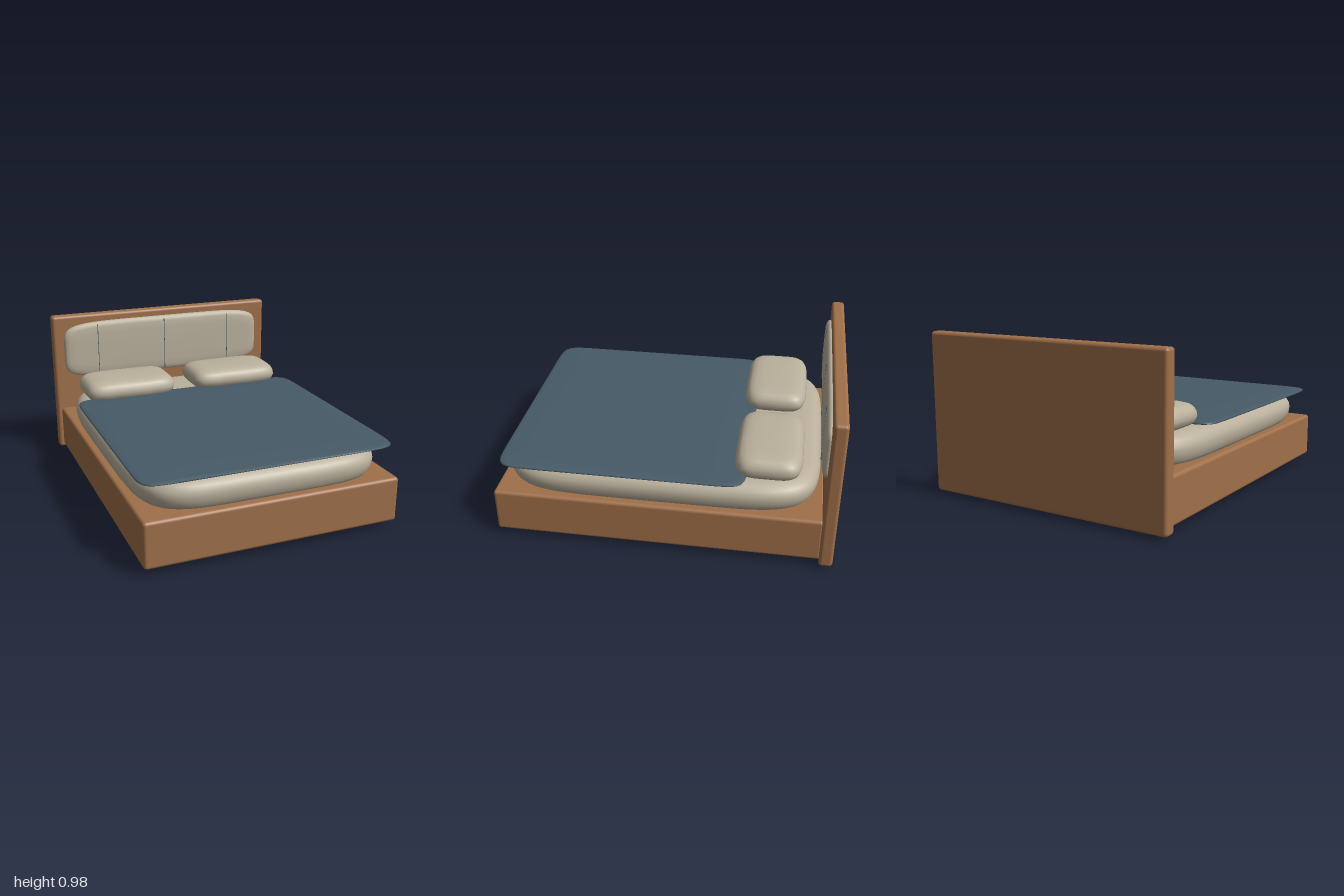
import * as THREE from 'three';
import { RoundedBoxGeometry } from 'three/addons/geometries/RoundedBoxGeometry.js';

const wood = new THREE.MeshStandardMaterial({ color: 0xa0704a });
wood.name = 'warm wood';
const linen = new THREE.MeshStandardMaterial({ color: 0xbab09c });
linen.name = 'linen';
const slate = new THREE.MeshStandardMaterial({ color: 0x465a66 });
slate.name = 'slate blue';

// Padded form: superellipse rings stacked along y; profile rows are [inset, y].
function paddedGeometry(halfX, halfZ, power, profile, sides = 96) {
  const pos = [], index = [];
  const bend = (v) => Math.sign(v) * Math.abs(v) ** (2 / power);
  for (const [inset, y] of profile) {
    for (let j = 0; j < sides; j++) {
      const t = (j / sides) * Math.PI * 2;
      pos.push((halfX - inset) * bend(Math.cos(t)), y, (halfZ - inset) * bend(Math.sin(t)));
    }
  }
  const last = profile.length - 1;
  const bottom = pos.length / 3, top = bottom + 1;
  pos.push(0, profile[0][1], 0, 0, profile[last][1], 0);
  for (let j = 0; j < sides; j++) {
    const k = (j + 1) % sides;
    for (let i = 0; i < last; i++) {
      const a = i * sides + j, b = i * sides + k;
      index.push(a, a + sides, b + sides, a, b + sides, b);
    }
    index.push(bottom, j, k, top, last * sides + k, last * sides + j);
  }
  const g = new THREE.BufferGeometry();
  g.setAttribute('position', new THREE.Float32BufferAttribute(pos, 3));
  g.setIndex(index);
  g.computeVertexNormals();
  return g;
}

export function createModel() {
  const bed = new THREE.Group();
  bed.name = 'bed';
  const add = (name, geometry, material, x, y, z) => {
    const mesh = new THREE.Mesh(geometry, material);
    mesh.name = name;
    mesh.position.set(x, y, z);
    bed.add(mesh);
    return mesh;
  };

  // Wooden base and headboard
  add('baseFrame', new RoundedBoxGeometry(1.54, 0.275, 1.93, 4, 0.02), wood, 0, 0.1825, 0.035);
  add('headboard', new RoundedBoxGeometry(1.6, 0.955, 0.08, 4, 0.02), wood, 0, 0.5025, -0.96);

  // Feet
  for (const x of [-0.66, 0.66])
    for (const z of [-0.76, 0.84])
      add('foot', new THREE.CylinderGeometry(0.025, 0.025, 0.06, 20), slate, x, 0.03, z);

  // Mattress
  add('mattress', paddedGeometry(0.75, 0.94, 5.6, [
    [0.05, 0.32], [0.025, 0.325], [0.012, 0.345], [0.003, 0.375], [0, 0.405], [0.005, 0.43],
    [0.018, 0.455], [0.04, 0.474], [0.075, 0.485], [0.13, 0.49], [0.3, 0.492],
  ]), linen, 0, 0, 0.04);

  // Thin blanket
  add('blanket', paddedGeometry(0.765, 0.725, 16, [
    [0.1, 0.495], [0.015, 0.496], [0.002, 0.5], [0, 0.505], [0.006, 0.511], [0.03, 0.515], [0.2, 0.52], [0.45, 0.522],
  ]), slate, 0, 0, 0.245);

  // Pillows
  const pillow = paddedGeometry(0.307, 0.195, 5, [
    [0.1, 0.487], [0.05, 0.492], [0.025, 0.502], [0.008, 0.52], [0, 0.547], [0.004, 0.572],
    [0.015, 0.594], [0.033, 0.61], [0.06, 0.619], [0.1, 0.624], [0.15, 0.626],
  ]);
  for (const side of [-1, 1]) add('pillow', pillow, linen, side * 0.376, 0, -0.595);

  // Upholstered headboard panel
  const panel = add('headboardCushion', paddedGeometry(0.728, 0.2, 5.6, [
    [0.004, -0.015], [0, 0.005], [0.004, 0.016], [0.014, 0.025], [0.035, 0.031], [0.08, 0.034],
  ]), linen, 0, 0.731, -0.92);
  panel.rotation.x = Math.PI / 2;

  // Stitched seams
  for (const x of [-0.49, 0, 0.49])
    add('cushionSeam', new THREE.BoxGeometry(0.004, 0.36, 0.004), slate, x, 0.731, -0.8875);

  return bed;
}
